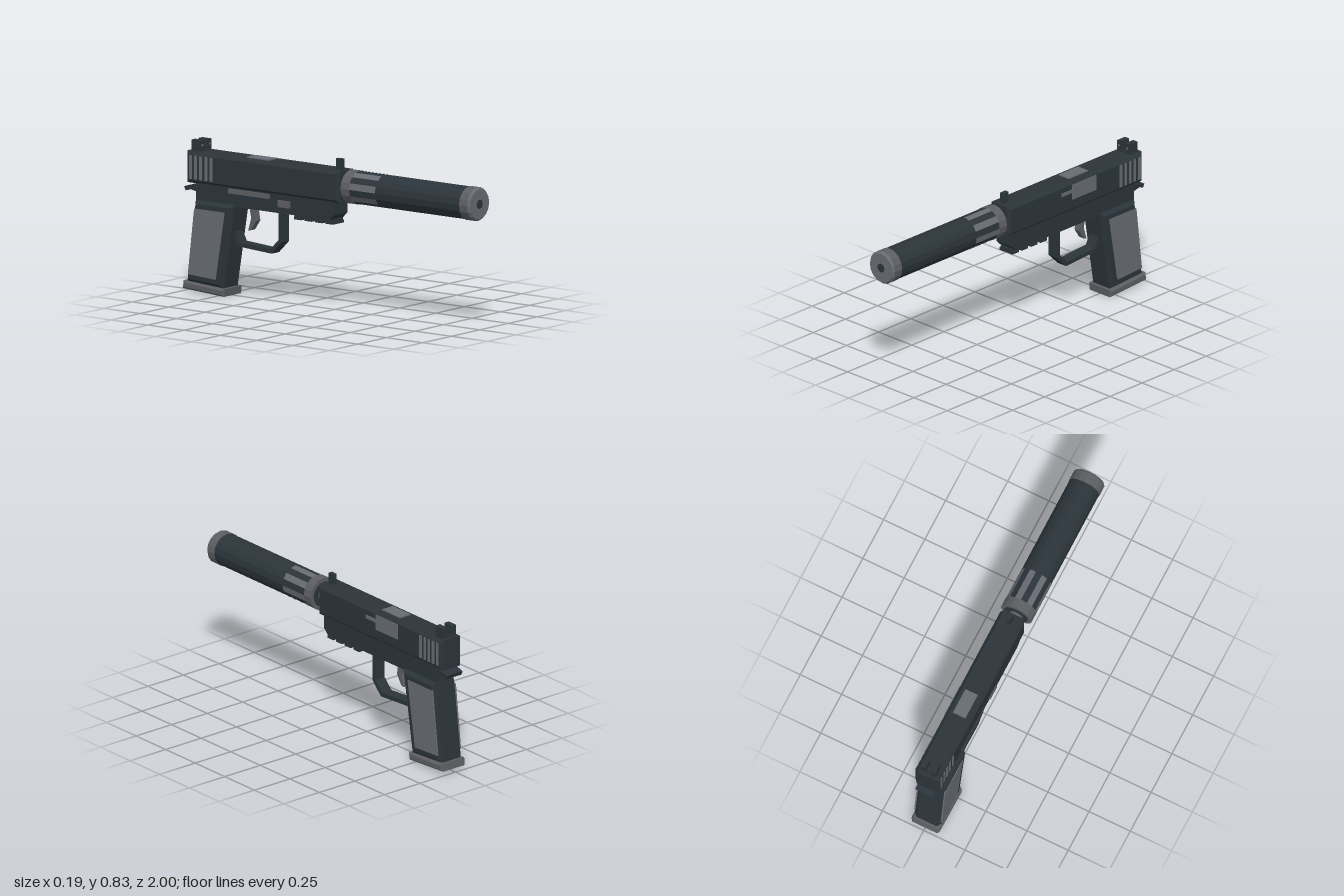
import * as THREE from 'three';

const mat = (name, color) => {
  const m = new THREE.MeshStandardMaterial({ color });
  m.name = name;
  return m;
};

export function createModel() {
  const model = new THREE.Group();
  const gunmetal = mat('gunmetal', 0x2b343a);
  const grey = mat('panel grey', 0x676b72);
  const steel = mat('steel grey', 0x5c5e62);

  const add = (name, geo, material) => {
    const mesh = new THREE.Mesh(geo, material);
    mesh.name = name;
    model.add(mesh);
    return mesh;
  };
  // Box given by its limits on each axis
  const box = (name, material, x0, x1, y0, y1, z0, z1) =>
    add(name, new THREE.BoxGeometry(x1 - x0, y1 - y0, z1 - z0)
      .translate((x0 + x1) / 2, (y0 + y1) / 2, (z0 + z1) / 2), material);
  // Side profile of [z, y] points, extruded across x, with chamfered edges
  const profile = (name, material, pts, half, bevel = 0, x = 0) => {
    const shape = new THREE.Shape(pts.map(([z, y]) => new THREE.Vector2(z, y)));
    const depth = 2 * (half - bevel);
    const geo = new THREE.ExtrudeGeometry(shape, {
      depth, bevelEnabled: bevel > 0, bevelThickness: bevel,
      bevelSize: bevel, bevelOffset: -bevel, bevelSegments: 1,
    });
    geo.translate(0, 0, -depth / 2).rotateY(-Math.PI / 2).translate(x, 0, 0);
    return add(name, geo, material);
  };
  // Faceted cylinder along z on the bore axis
  const AXIS = 0.69, SIDES = 16;
  const tube = (name, material, rBack, rFront, z0, z1, open = false, start = 0, segs = SIDES) => {
    const geo = new THREE.CylinderGeometry(rFront, rBack, z1 - z0, segs, 1, open,
      start, segs * Math.PI * 2 / SIDES).toNonIndexed();
    geo.computeVertexNormals();
    geo.rotateX(Math.PI / 2).translate(0, AXIS, (z0 + z1) / 2);
    return add(name, geo, material);
  };

  // Slide and frame
  profile('slide', gunmetal, [[-0.97, 0.6], [0.08, 0.6], [0.08, 0.775], [-0.97, 0.775]], 0.073, 0.017);
  profile('frame', gunmetal,
    [[-0.91, 0.5], [0.01, 0.5], [0.04, 0.53], [0.04, 0.605], [-0.91, 0.605]], 0.059);
  profile('beavertail', gunmetal,
    [[-0.89, 0.55], [-0.96, 0.565], [-0.985, 0.552], [-0.995, 0.575], [-0.92, 0.597], [-0.89, 0.597]].reverse(), 0.055);

  // Accessory rail with cross teeth
  box('rail', gunmetal, -0.042, 0.042, 0.487, 0.502, -0.245, 0.025);
  for (let i = 0; i < 4; i++) {
    const z = 0.025 - i * 0.073;
    box('railTooth', gunmetal, -0.048, 0.048, 0.475, 0.49, z - 0.05, z);
  }

  // Sights
  box('frontSight', gunmetal, -0.012, 0.012, 0.77, 0.835, 0.018, 0.058);
  box('rearSightBase', gunmetal, -0.047, 0.047, 0.77, 0.782, -0.95, -0.89);
  for (const s of [-1, 1]) {
    const c = s * 0.031;
    box('rearSightPost', gunmetal, c - 0.016, c + 0.016, 0.77, 0.835, -0.95, -0.888);
    box('sightDot', grey, c - 0.006, c + 0.006, 0.803, 0.815, -0.889, -0.886);
  }

  // Slide serrations and grip panels on both sides
  for (const s of [-1, 1]) {
    for (let i = 0; i < 5; i++) {
      const z = -0.794 - i * 0.0355, x = s * 0.0735;
      box('serration', grey, x - 0.003, x + 0.003, 0.624, 0.755, z - 0.009, z + 0.009);
    }
    profile('gripPanel', grey,
      [[-0.947, 0.1], [-0.757, 0.09], [-0.695, 0.465], [-0.904, 0.465]], 0.004, 0, s * 0.08);
  }

  // Ejection port plates and extractor
  box('ejectionPortSide', grey, 0.07, 0.077, 0.67, 0.757, -0.6, -0.415);
  box('ejectionPortTop', grey, -0.038, 0.037, 0.773, 0.781, -0.575, -0.425);
  box('extractor', grey, 0.07, 0.076, 0.71, 0.73, -0.42, -0.33);

  // Controls on the right side
  box('slideStop', steel, -0.069, -0.058, 0.572, 0.598, -0.68, -0.4);
  box('takedownButton', steel, -0.07, -0.058, 0.535, 0.572, -0.34, -0.26);

  // Grip and base plate
  profile('grip', gunmetal,
    [[-0.968, 0.055], [-0.717, 0.04], [-0.64, 0.51], [-0.91, 0.51]], 0.08, 0.02);
  profile('basePlate', steel,
    [[-0.988, 0.018], [-0.705, 0], [-0.7, 0.043], [-0.982, 0.062]], 0.085, 0.01);

  // Trigger and guard
  profile('triggerGuard', gunmetal, [
    [-0.34, 0.505], [-0.34, 0.335], [-0.41, 0.265], [-0.645, 0.28], [-0.685, 0.35],
    [-0.66, 0.36], [-0.632, 0.303], [-0.42, 0.288], [-0.362, 0.345], [-0.362, 0.505],
  ], 0.033);
  profile('trigger', steel, [
    [-0.54, 0.505], [-0.575, 0.505], [-0.562, 0.44], [-0.583, 0.37], [-0.563, 0.375], [-0.527, 0.43],
  ], 0.018);

  // Threaded barrel
  tube('barrelBushing', gunmetal, 0.052, 0.045, 0.07, 0.09);
  tube('barrel', steel, 0.04, 0.04, 0.07, 0.12);

  // Suppressor
  tube('suppressorBody', gunmetal, 0.091, 0.091, 0.15, 0.95);
  tube('suppressorCollar', steel, 0.094, 0.094, 0.113, 0.17);
  tube('collarRecess', gunmetal, 0.072, 0.072, 0.11, 0.114);
  tube('suppressorCap', steel, 0.094, 0.094, 0.93, 0.985);
  tube('capFace', grey, 0.094, 0.084, 0.985, 0.998);
  tube('bore', gunmetal, 0.025, 0.025, 0.99, 1.0);
  // Knurl panels on every second facet
  for (let i = 0; i < SIDES / 2; i++) {
    tube('knurlPanel', grey, 0.0935, 0.0935, 0.168, 0.35, true, (i * 2 + 1) * Math.PI * 2 / SIDES, 1);
  }

  return model;
}
